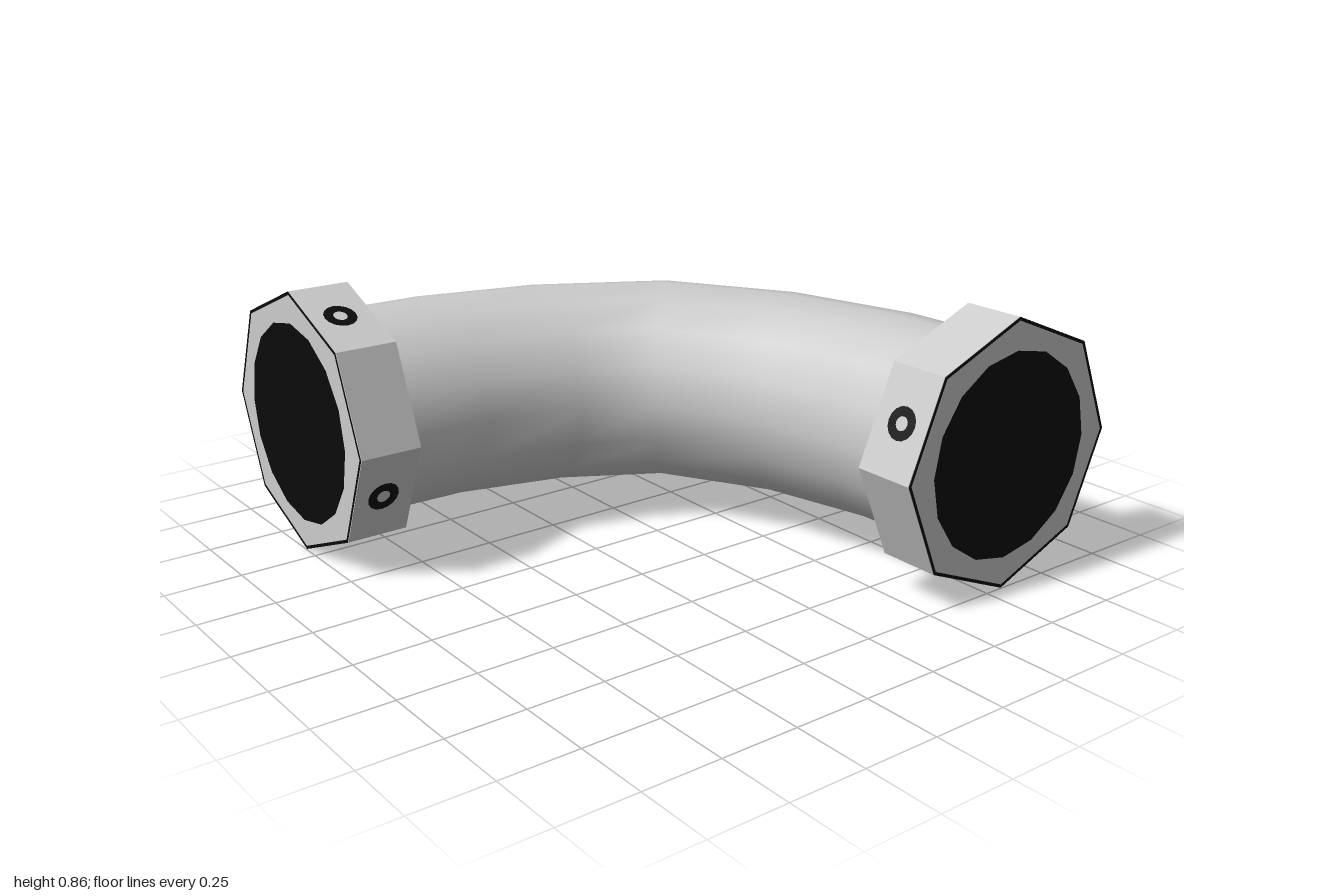
import * as THREE from 'three';

const steel = new THREE.MeshStandardMaterial({ name: 'light grey steel', color: 0xcccccc });
const black = new THREE.MeshStandardMaterial({ name: 'black', color: 0x0b0b0b });
const AXIS = 0.565, HEIGHT = 0.43, FLANGE_R = 0.43, PIPE_R = 0.335;

function add(parent, name, geometry, material) {
  const mesh = new THREE.Mesh(geometry, material);
  mesh.name = name;
  parent.add(mesh);
  return mesh;
}

// Bent pipe: each section spans an outer and an inner point (x, z)
function pipeGeometry() {
  const sections = [
    [-0.90, 0.9, -0.23, 0.9], [-0.90, 0.8, -0.23, 0.8], [-0.895, 0.48, -0.22, 0.5],
    [-0.785, 0.04, -0.14, 0.2], [-0.51, -0.445, -0.015, -0.01], [-0.08, -0.73, 0.29, -0.165],
    [0.41, -0.875, 0.59, -0.225], [0.79, -0.90, 0.79, -0.225], [0.9, -0.90, 0.9, -0.23],
  ];
  const sides = 16, pos = [], index = [];
  sections.forEach(([ox, oz, ix, iz], i) => {
    for (let j = 0; j < sides; j++) {
      const a = (j / sides) * Math.PI * 2, c = Math.cos(a) / 2;
      pos.push((ox + ix) / 2 + (ox - ix) * c, HEIGHT + PIPE_R * Math.sin(a), (oz + iz) / 2 + (oz - iz) * c);
      if (i === sections.length - 1) continue;
      const k = (j + 1) % sides, p = i * sides, q = p + sides;
      index.push(p + j, p + k, q + j, p + k, q + k, q + j);
    }
  });
  const g = new THREE.BufferGeometry();
  g.setAttribute('position', new THREE.Float32BufferAttribute(pos, 3));
  g.setIndex(index);
  g.computeVertexNormals();
  return g;
}

// Octagonal end collar, built along +z
function makeFlange(name) {
  const flange = new THREE.Group();
  flange.name = name;

  const body = new THREE.CylinderGeometry(FLANGE_R, FLANGE_R, 0.2, 8).toNonIndexed();
  body.rotateX(Math.PI / 2);
  body.computeVertexNormals();
  add(flange, 'flangeBody', body, steel).position.z = 0.895;

  // Pipe mouth and dark edge lines
  add(flange, 'pipeMouth', new THREE.CircleGeometry(0.328, 16), black).position.z = 0.998;
  const rim = new THREE.RingGeometry(0.419, FLANGE_R, 8, 1);
  add(flange, 'frontEdgeLine', rim, black).position.z = 0.997;
  const backRim = add(flange, 'backEdgeLine', rim, black);
  backRim.rotation.y = Math.PI;
  backRim.position.z = 0.793;

  // Dark seam where the pipe meets the collar
  const seam = new THREE.CylinderGeometry(0.342, 0.342, 0.022, 16);
  seam.rotateX(Math.PI / 2);
  add(flange, 'pipeSeam', seam, black).position.z = 0.786;

  // Bolts on every other face
  const apothem = FLANGE_R * Math.cos(Math.PI / 8);
  for (let i = 0; i < 4; i++) {
    const bolt = new THREE.Group();
    bolt.name = 'bolt';
    bolt.rotation.z = Math.PI * (3 / 8 + i / 2);
    const ring = add(bolt, 'boltRing', new THREE.RingGeometry(0.022, 0.052, 16), black);
    ring.rotation.y = Math.PI / 2;
    ring.position.set(apothem + 0.003, 0, 0.9);
    flange.add(bolt);
  }
  return flange;
}

export function createModel() {
  const model = new THREE.Group();
  model.name = 'pipeElbow';
  add(model, 'pipe', pipeGeometry(), steel);

  const front = makeFlange('frontFlange');
  front.position.set(-AXIS, HEIGHT, 0);
  const side = makeFlange('sideFlange');
  side.rotation.y = Math.PI / 2;
  side.position.set(0, HEIGHT, -AXIS);
  model.add(front, side);
  return model;
}
